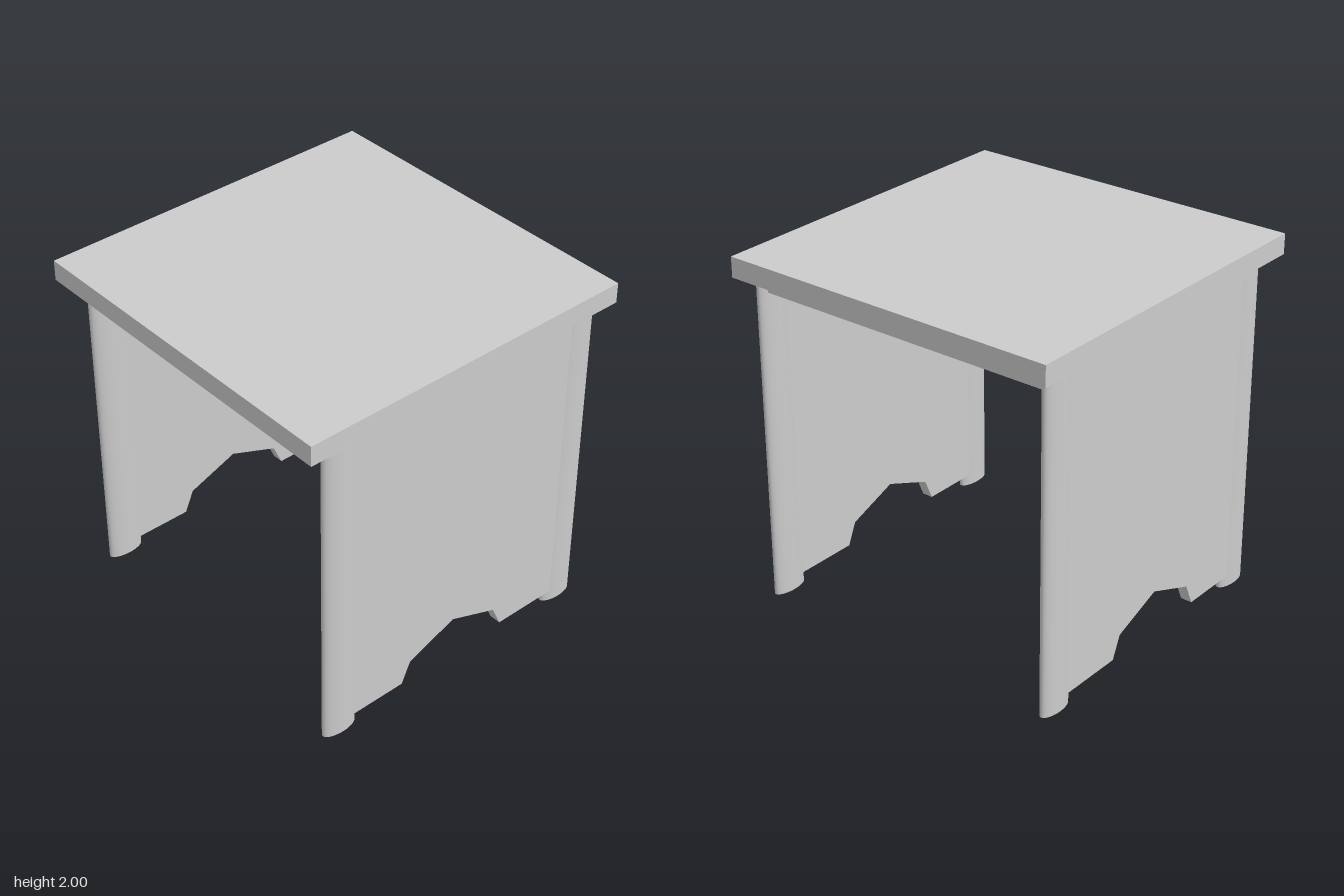
import * as THREE from 'three';

const material = new THREE.MeshStandardMaterial({ color: 0xcccccc });
const TOP_UNDERSIDE = 1.885;
const LEG_X = 0.918;

function addPart(group, name, geometry, x, y, z) {
  const mesh = new THREE.Mesh(geometry, material);
  mesh.name = name;
  mesh.position.set(x, y, z);
  group.add(mesh);
}

// Oval post, its long axis running front to back
function legGeometry() {
  const geometry = new THREE.CylinderGeometry(1, 1, TOP_UNDERSIDE, 32);
  geometry.scale(0.0425, 1, 0.105);
  return geometry;
}

// Flat side board with a pointed arch cut into its lower edge
function panelGeometry(thickness) {
  const outline = [
    [-0.745, 0.065], [-0.355, 0.065], [-0.3, 0.19], [0, 0.305],
    [0.3, 0.19], [0.355, 0.065], [0.7, 0.065],
    [0.7, TOP_UNDERSIDE], [-0.745, TOP_UNDERSIDE],
  ];
  const shape = new THREE.Shape(outline.map(([z, y]) => new THREE.Vector2(-z, y)));
  const geometry = new THREE.ExtrudeGeometry(shape, { depth: thickness, bevelEnabled: false });
  geometry.translate(0, 0, -thickness / 2);
  geometry.rotateY(Math.PI / 2);
  return geometry;
}

export function createModel() {
  const group = new THREE.Group();
  group.name = 'sideTable';

  // Square top
  const topHeight = 2 - TOP_UNDERSIDE;
  addPart(group, 'tableTop', new THREE.BoxGeometry(2, topHeight, 2), 0, 2 - topHeight / 2, 0);

  // Legs and side panels, mirrored left and right
  for (const [side, s] of [['left', 1], ['right', -1]]) {
    addPart(group, `${side}FrontLeg`, legGeometry(), s * LEG_X, TOP_UNDERSIDE / 2, 0.765);
    addPart(group, `${side}BackLeg`, legGeometry(), s * LEG_X, TOP_UNDERSIDE / 2, -0.805);
    addPart(group, `${side}Panel`, panelGeometry(0.066), s * LEG_X, 0, 0);
  }

  // Rails under the front and back of the top
  const railHeight = 0.095;
  for (const [name, z] of [['frontRail', 0.78], ['backRail', -0.82]]) {
    addPart(group, name, new THREE.BoxGeometry(1.83, railHeight, 0.1), 0, TOP_UNDERSIDE - railHeight / 2, z);
  }
  return group;
}
